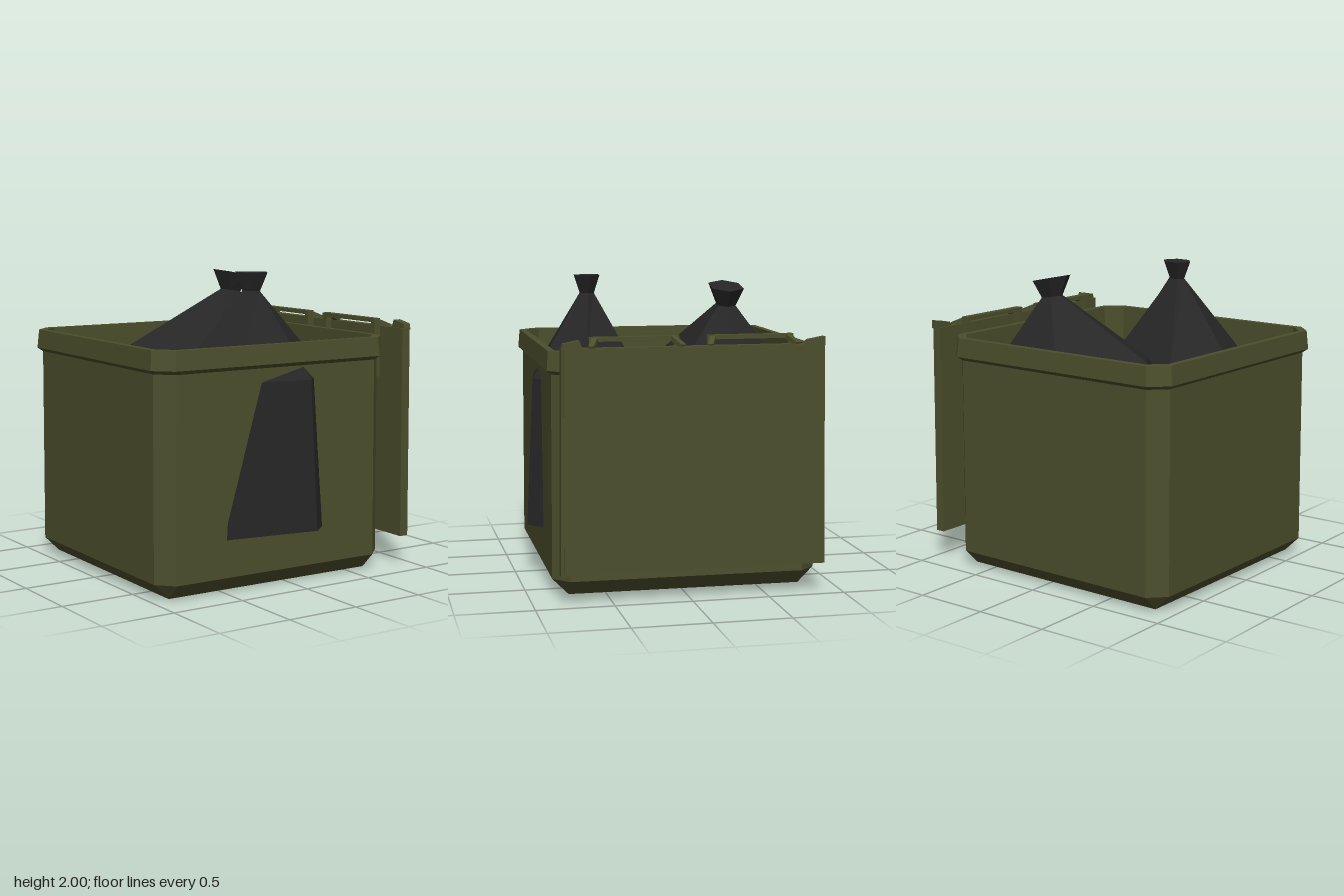
import * as THREE from 'three';

const olive = new THREE.MeshStandardMaterial({ color: 0x4c4f2c });
olive.name = 'olive paint';
const black = new THREE.MeshStandardMaterial({ color: 0x262627 });
black.name = 'black plastic';

// Flat-faced skin through rings of points, each running counter-clockwise seen from above
function loft(rings) {
  const pos = [];
  const tri = (a, b, c) => {
    const area = new THREE.Triangle(a, b, c).getArea();
    if (area > 1e-7) for (const p of [a, b, c]) pos.push(p.x, p.y, p.z);
  };
  const n = rings[0].length;
  for (let r = 0; r < rings.length - 1; r++) {
    const a = rings[r], b = rings[r + 1];
    for (let i = 0; i < n; i++) {
      const j = (i + 1) % n;
      tri(a[i], a[j], b[j]);
      tri(a[i], b[j], b[i]);
    }
  }
  const first = rings[0], last = rings[rings.length - 1];
  for (let i = 1; i < n - 1; i++) {
    tri(first[0], first[i + 1], first[i]);
    tri(last[0], last[i], last[i + 1]);
  }
  const g = new THREE.BufferGeometry();
  g.setAttribute('position', new THREE.Float32BufferAttribute(pos, 3));
  g.computeVertexNormals();
  return g;
}

// Square of half-width h with corners cut by c
function octagon(y, h, c) {
  const k = h - c;
  return [[h, k], [h, -k], [k, -h], [-k, -h], [-h, -k], [-h, k], [-k, h], [k, h]]
    .map(([x, z]) => new THREE.Vector3(x, y, z));
}

// Scales an outline about a centre and sets its height from a function of x
const ring = (pts, [cx, cz], s, height) => pts.map(([x, z]) => {
  const px = cx + (x - cx) * s;
  return new THREE.Vector3(px, height(px), cz + (z - cz) * s);
});

function add(parent, name, geometry, material) {
  const m = new THREE.Mesh(geometry, material);
  m.name = name;
  parent.add(m);
  return m;
}

function box(parent, name, x0, x1, y0, y1, z0, z1) {
  const m = add(parent, name, new THREE.BoxGeometry(x1 - x0, y1 - y0, z1 - z0), olive);
  m.position.set((x0 + x1) / 2, (y0 + y1) / 2, (z0 + z1) / 2);
  return m;
}

// Plate drawn in (z, y) and thickened from x0 to x1
function sidePlate(parent, name, points, x0, x1) {
  const shape = new THREE.Shape(points.map(([z, y]) => new THREE.Vector2(-z, y)));
  const g = new THREE.ExtrudeGeometry(shape, { depth: x1 - x0, bevelEnabled: false });
  g.rotateY(Math.PI / 2).translate(x0, 0, 0);
  return add(parent, name, g, olive);
}

export function createModel() {
  const model = new THREE.Group();
  model.name = 'rubbishBin';

  // Open container with chamfered base, overhanging rim and hollow inside
  const bin = add(model, 'container', loft([
    octagon(0, 0.763, 0),
    octagon(0.105, 0.868, 0.105),
    octagon(1.42, 0.862, 0.105),
    octagon(1.445, 0.892, 0.11),
    octagon(1.57, 0.882, 0.11),
    octagon(1.57, 0.838, 0.1),
    octagon(0.1, 0.818, 0.1),
  ]), olive);
  bin.position.set(-0.093, 0, -0.035);
  bin.rotation.y = -0.014;

  // Upright front bag
  const frontBase = [[0.51, 0.6], [0.29, 0.13], [-0.33, 0.05], [-0.68, 0.36], [-0.5, 0.83], [0.13, 0.93]];
  const frontTie = [[0.03, 0.48], [-0.04, 0.4], [-0.15, 0.39], [-0.2, 0.47], [-0.13, 0.56], [-0.02, 0.57]];
  const c1 = [-0.085, 0.478];
  add(model, 'frontBag', loft([
    ring(frontBase, c1, 1, () => 0.35),
    ring(frontBase, c1, 0.89, () => 1.33),
    ring(frontTie, c1, 0.55, () => 1.88),
    ring(frontTie, c1, 1, () => 2),
  ]), black);

  // Leaning rear bag
  const rearBody = [[0.89, -0.36], [0.58, -0.83], [-0.1, -0.855], [-0.48, -0.415], [-0.15, 0.05], [0.54, 0.09]];
  const rearTie = [[0.48, -0.37], [0.41, -0.48], [0.27, -0.48], [0.19, -0.39], [0.25, -0.28], [0.4, -0.27]];
  const c2 = [0.32, -0.38];
  const shoulder = ring(rearBody, c2, 1, x => 1.17 + 0.219 * (0.89 - x));
  add(model, 'rearBag', loft([
    shoulder.map(p => p.clone().add(new THREE.Vector3(-0.33, -0.42, 0))),
    shoulder,
    ring(rearTie, c2, 0.55, x => 1.83 - 0.14 * (x - 0.24)),
    ring(rearTie, c2, 1, x => 1.97 - 0.207 * (x - 0.19)),
  ]), black);

  // Lid hanging open on the side, with a raised tab at each upper corner
  const lid = new THREE.Group();
  lid.name = 'lid';
  model.add(lid);
  sidePlate(lid, 'lidPanel', [[0.835, 0.195], [-0.875, 0.195], [-0.855, 1.61], [0.82, 1.61]], 0.905, 0.968);
  sidePlate(lid, 'lidFace', [[0.815, 0.21], [-0.855, 0.21], [-0.84, 1.605], [0.805, 1.605]], 0.968, 0.976);
  sidePlate(lid, 'frontTab', [[0.82, 1.6], [0.685, 1.6], [0.71, 1.66], [0.81, 1.64]], 0.92, 0.975);
  sidePlate(lid, 'rearTab', [[-0.72, 1.6], [-0.855, 1.6], [-0.855, 1.655], [-0.745, 1.635]], 0.92, 0.98);

  // Two hinge frames between the container and the lid
  for (const [z0, z1] of [[0.06, 0.63], [-0.68, -0.12]]) {
    const hinge = new THREE.Group();
    hinge.name = 'hinge';
    model.add(hinge);
    box(hinge, 'hingeMount', 0.765, 0.83, 1.27, 1.37, z0 + 0.1, z1 - 0.1);
    box(hinge, 'hingeLowerBar', 0.82, 0.87, 1.27, 1.33, z0, z1);
    box(hinge, 'hingeTopBar', 0.815, 0.868, 1.64, 1.667, z0, z1);
    for (const [z, s] of [[z0, 1], [z1, -1]]) {
      const a = Math.min(z, z + s * 0.035), b = Math.max(z, z + s * 0.035);
      box(hinge, 'hingeUpright', 0.82, 0.868, 1.3, 1.65, a, b);
      const arm = box(hinge, 'hingeArm', 0.85, 0.965, 1.615, 1.645, a, b);
      arm.rotation.set(0, s * 0.4, -0.4, 'YZX');
    }
  }
  return model;
}
